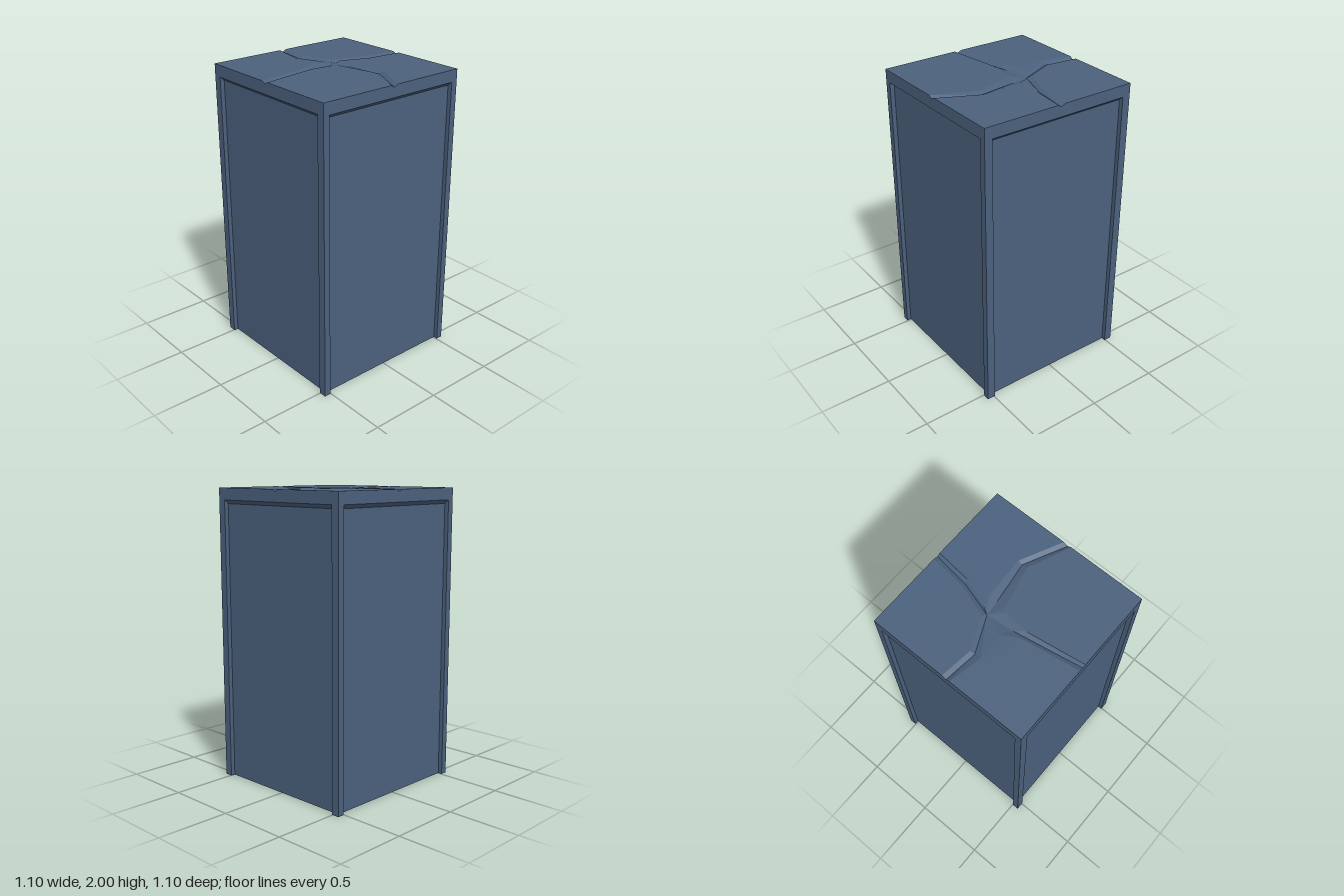
import * as THREE from 'three';

const HALF = 0.55, HEIGHT = 2, LINTEL = 1.92, PANEL_TOP = 1.895;
const RECESS = 0.52, DEPTH = 0.015;

// Collects flat triangles, each turned to face the given outward direction
function makeFaces() {
  const pos = [], n = new THREE.Vector3();
  const tri = (a, b, c, out) => {
    n.copy(b).sub(a).cross(c.clone().sub(a));
    const list = n.dot(out) < 0 ? [a, c, b] : [a, b, c];
    list.forEach(p => pos.push(p.x, p.y, p.z));
  };
  // Fills a 2D outline, placing its points in space with place(x, y)
  const poly = (outline, place, out) => {
    const pts = outline.map(([x, y]) => new THREE.Vector2(x, y));
    for (const [a, b, c] of THREE.ShapeUtils.triangulateShape(pts, [])) {
      tri(...[a, b, c].map(i => place(pts[i].x, pts[i].y)), out);
    }
  };
  const quad = (a, b, c, d, out) => { tri(a, b, c, out); tri(a, c, d, out); };
  const build = () => {
    const g = new THREE.BufferGeometry();
    g.setAttribute('position', new THREE.Float32BufferAttribute(pos, 3));
    g.computeVertexNormals();
    return g;
  };
  return { poly, quad, build };
}

export function createModel() {
  const group = new THREE.Group();
  const stone = new THREE.MeshStandardMaterial({ color: 0x4b617d });
  stone.name = 'slate blue';
  const add = (name, geometry) => {
    const mesh = new THREE.Mesh(geometry, stone);
    mesh.name = name;
    group.add(mesh);
  };

  // Pillar with square corner posts and a recessed panel on each side
  const px = 0.495, pz = 0.505;
  const quarter = [[HALF, pz], [HALF, HALF], [px, HALF], [px, RECESS]];
  const corner = [[RECESS, pz], ...quarter];
  const flip = (pts, sx, sy) => pts.map(([x, y]) => [x * sx, y * sy]);
  const outline = [
    ...corner,
    ...flip(corner, -1, 1).reverse(),
    ...flip(corner, -1, -1),
    ...flip(corner, 1, -1).reverse(),
  ];
  const shape = new THREE.Shape(outline.map(([x, y]) => new THREE.Vector2(x, y)));
  const pillar = new THREE.ExtrudeGeometry(shape, { depth: LINTEL, bevelEnabled: false });
  pillar.rotateX(-Math.PI / 2);
  add('panelledPillar', pillar);

  // Lintel band around the top, with crack notches and a sloped underside
  const lintel = makeFaces();
  const sides = [
    { place: (u, y, d) => new THREE.Vector3(u, y, d), out: new THREE.Vector3(0, 0, 1), w: px },
    { place: (u, y, d) => new THREE.Vector3(u, y, -d), out: new THREE.Vector3(0, 0, -1), w: px },
    { place: (u, y, d) => new THREE.Vector3(d, y, u), out: new THREE.Vector3(1, 0, 0), w: pz },
    { place: (u, y, d) => new THREE.Vector3(-d, y, u), out: new THREE.Vector3(-1, 0, 0), w: pz },
  ];
  sides.forEach(({ place, out, w }, i) => {
    const right = i < 2 ? 0.02 : 0.025;
    lintel.poly([
      [-HALF, LINTEL], [HALF, LINTEL], [HALF, HEIGHT], [right, HEIGHT],
      [0, HEIGHT - DEPTH], [-0.03, HEIGHT], [-HALF, HEIGHT],
    ], (u, y) => place(u, y, HALF), out);
    lintel.quad(
      place(-w, PANEL_TOP, RECESS), place(w, PANEL_TOP, RECESS),
      place(w, LINTEL, HALF), place(-w, LINTEL, HALF), new THREE.Vector3(0, -1, 0));
  });
  add('lintelBand', lintel.build());

  // Top slabs: edge is the slab rim along the crack, floor is the crack bottom
  const hub = [-0.1, -0.08];
  const west = [[-0.55, 0], [-0.33, 0.025]];
  const east = [[0.55, 0], [0.28, -0.13], [0, -0.09]];
  const north = [[-0.03, -0.31], [0, -0.55]];
  const south = [[-0.08, 0.1], [0, 0.55]];
  const slabs = [
    { name: 'backRightSlab', corner: [-HALF, -HALF], floor: [...west, hub, ...north],
      edge: [[-0.55, -0.03], [-0.335, -0.005], [-0.125, -0.095], [-0.055, -0.31], [-0.03, -0.55]] },
    { name: 'backLeftSlab', corner: [HALF, -HALF], floor: [...east, hub, ...north],
      edge: [[0.55, -0.03], [0.28, -0.16], [0, -0.145], [-0.08, -0.115], [-0.005, -0.31], [0.02, -0.55]] },
    { name: 'frontRightSlab', corner: [-HALF, HALF], floor: [...west, hub, ...south],
      edge: [[-0.55, 0.025], [-0.33, 0.07], [-0.15, 0.065], [-0.09, 0.17], [-0.03, 0.55]] },
    { name: 'frontLeftSlab', corner: [HALF, HALF], floor: [...east, hub, ...south],
      edge: [[0.55, 0.025], [0.28, -0.09], [0, -0.025], [-0.02, 0], [-0.04, 0.16], [0.02, 0.55]] },
  ];
  const up = new THREE.Vector3(0, 1, 0);
  const rim = ([x, z]) => new THREE.Vector3(x, HEIGHT, z);
  const low = ([x, z]) => new THREE.Vector3(x, HEIGHT - DEPTH, z);
  for (const { name, corner: c, floor, edge } of slabs) {
    const slab = makeFaces();
    slab.poly([...edge, c], (x, z) => rim([x, z]), up);
    for (let i = 0; i < edge.length - 1; i++) {
      slab.quad(rim(edge[i]), rim(edge[i + 1]), low(floor[i + 1]), low(floor[i]), up);
    }
    add(name, slab.build());
  }
  return group;
}
